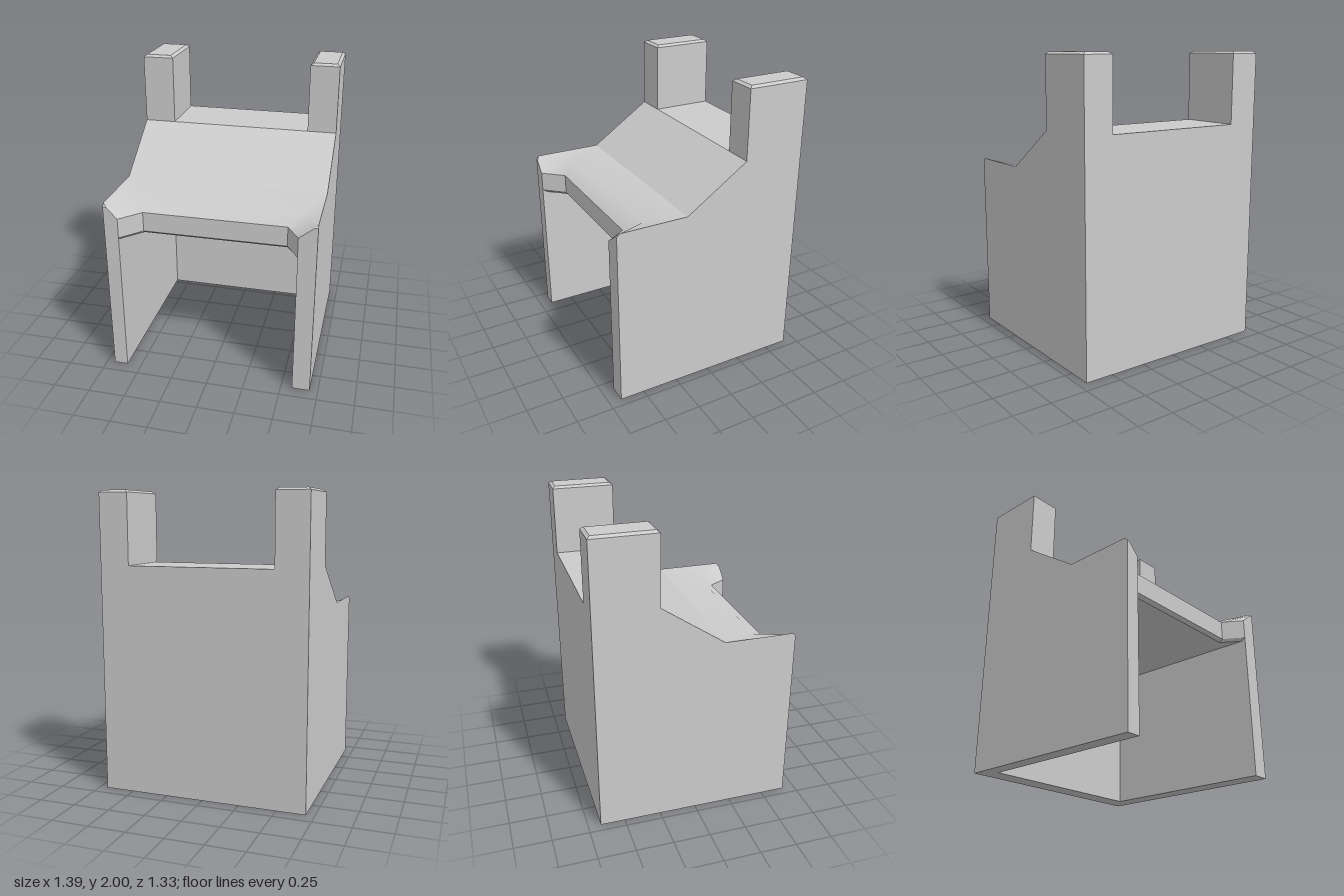
import * as THREE from 'three';

const solid = new THREE.MeshStandardMaterial({ color: 0xcccccc, flatShading: true });
const thin = new THREE.MeshStandardMaterial({ color: 0xcccccc, flatShading: true, side: THREE.DoubleSide });
const smooth = new THREE.MeshStandardMaterial({ color: 0xcccccc, side: THREE.DoubleSide });

const W = 0.695, D = 0.665;          // half width and half depth
const IN_L = -0.6, IN_R = 0.575;     // inner faces of the side walls
const SEAT = 1.235, LIP = 1.135;     // seat rim and front lip heights

function outline(points) {
  return new THREE.Shape(points.map(([a, b]) => new THREE.Vector2(a, b)));
}

// Plan outline [x, z] raised from y0 to y1
function slab(points, y0, y1) {
  const g = new THREE.ExtrudeGeometry(outline(points.map(([x, z]) => [x, -z])), { depth: y1 - y0, bevelEnabled: false });
  return g.rotateX(-Math.PI / 2).translate(0, y0, 0);
}

// Surface through rows of [x, y, z] points
function loft(rows) {
  const n = rows[0].length, index = [];
  for (let r = 0; r < rows.length - 1; r++) {
    for (let c = 0; c < n - 1; c++) {
      const a = r * n + c, b = a + 1, d = a + n, e = d + 1;
      index.push(a, d, b, b, d, e);
    }
  }
  const g = new THREE.BufferGeometry();
  g.setAttribute('position', new THREE.Float32BufferAttribute(rows.flat(2), 3));
  g.setIndex(index);
  g.computeVertexNormals();
  return g;
}

// Box with a chamfered top
function post(x0, x1, z0, z1, y0, y1) {
  const g = new THREE.BoxGeometry(x1 - x0, y1 - y0, z1 - z0, 1, 2, 1);
  const p = g.attributes.position, h = (y1 - y0) / 2;
  for (let i = 0; i < p.count; i++) {
    const y = p.getY(i);
    if (y > h - 0.001) {
      p.setX(i, p.getX(i) - Math.sign(p.getX(i)) * 0.02);
      p.setZ(i, p.getZ(i) - Math.sign(p.getZ(i)) * 0.02);
    } else if (Math.abs(y) < 0.001) p.setY(i, h - 0.015);
  }
  return g.translate((x0 + x1) / 2, (y0 + y1) / 2, (z0 + z1) / 2);
}

export function createModel() {
  const group = new THREE.Group();
  const add = (name, geometry, material = solid) => {
    const mesh = new THREE.Mesh(geometry, material);
    mesh.name = name;
    group.add(mesh);
  };

  // Three walls, open at the front and below
  const back = -0.535;
  add('walls', slab([[-W, D], [IN_L, D], [IN_L, back], [IN_R, back], [IN_R, D], [W, D], [W, -D], [-W, -D]], 0, 1));

  // Seat block with its recessed front edge
  const front = [[IN_L, D], [-0.475, 0.53], [0.49, 0.53], [IN_R, D]];
  add('seatBlock', slab([[-W, D], ...front, [W, D], [W, -D], [-W, -D]], 1, LIP));

  // Underside, with a sloping front edge
  const under = [[IN_L, D - 0.03], [-0.475, 0.505], [0.49, 0.505], [IN_R, D - 0.03]];
  add('seatUnderside', slab([...under, [IN_R, back], [IN_L, back]], 0.98, 1));
  add('undersideBevel', loft([front.map(([x, z]) => [x, 1, z]), under.map(([x, z]) => [x, 0.98, z])]), thin);

  // Dished seat surface, falling from the rim to the lip
  add('seatDish', loft([
    [[-W, SEAT, 0.645], [-W, SEAT, 0.18], [W, SEAT, 0.18], [W, SEAT, 0.645]],
    [[-0.67, 1.209, D], [-0.56, 1.2, 0.43], [0.57, 1.2, 0.43], [0.67, 1.209, D]],
    front.map(([x, z]) => [x, LIP, z]),
  ]), smooth);

  // Rim sides and clipped front corners
  const rim = outline([[0.18, LIP], [D, LIP], [D, 1.215], [0.645, SEAT], [0.18, SEAT]]);
  for (const [side, s, inner] of [['left', 1, IN_R], ['right', -1, IN_L]]) {
    add(side + 'RimSide', new THREE.ShapeGeometry(rim).rotateY(-Math.PI / 2).translate(s * W, 0, 0), thin);
    const top = [s * W, SEAT, 0.645];
    add(side + 'RimFront', loft([
      [top, top],
      [[s * W, 1.215, D], [s * 0.67, 1.209, D]],
      [[s * W, LIP, D], [inner, LIP, D]],
    ]), thin);
  }

  // Sloping backrest
  const profile = outline([[-D, LIP], [0.18, LIP], [0.18, SEAT], [-0.24, 1.52], [-D, 1.52]]);
  add('backrest', new THREE.ExtrudeGeometry(profile, { depth: 2 * W, bevelEnabled: false })
    .rotateY(-Math.PI / 2).translate(W, 0, 0));

  // Rear posts
  add('rightPost', post(-W, -0.48, -D, -0.24, 1.52, 2));
  add('leftPost', post(0.495, W, -D, -0.24, 1.52, 2));

  return group;
}
